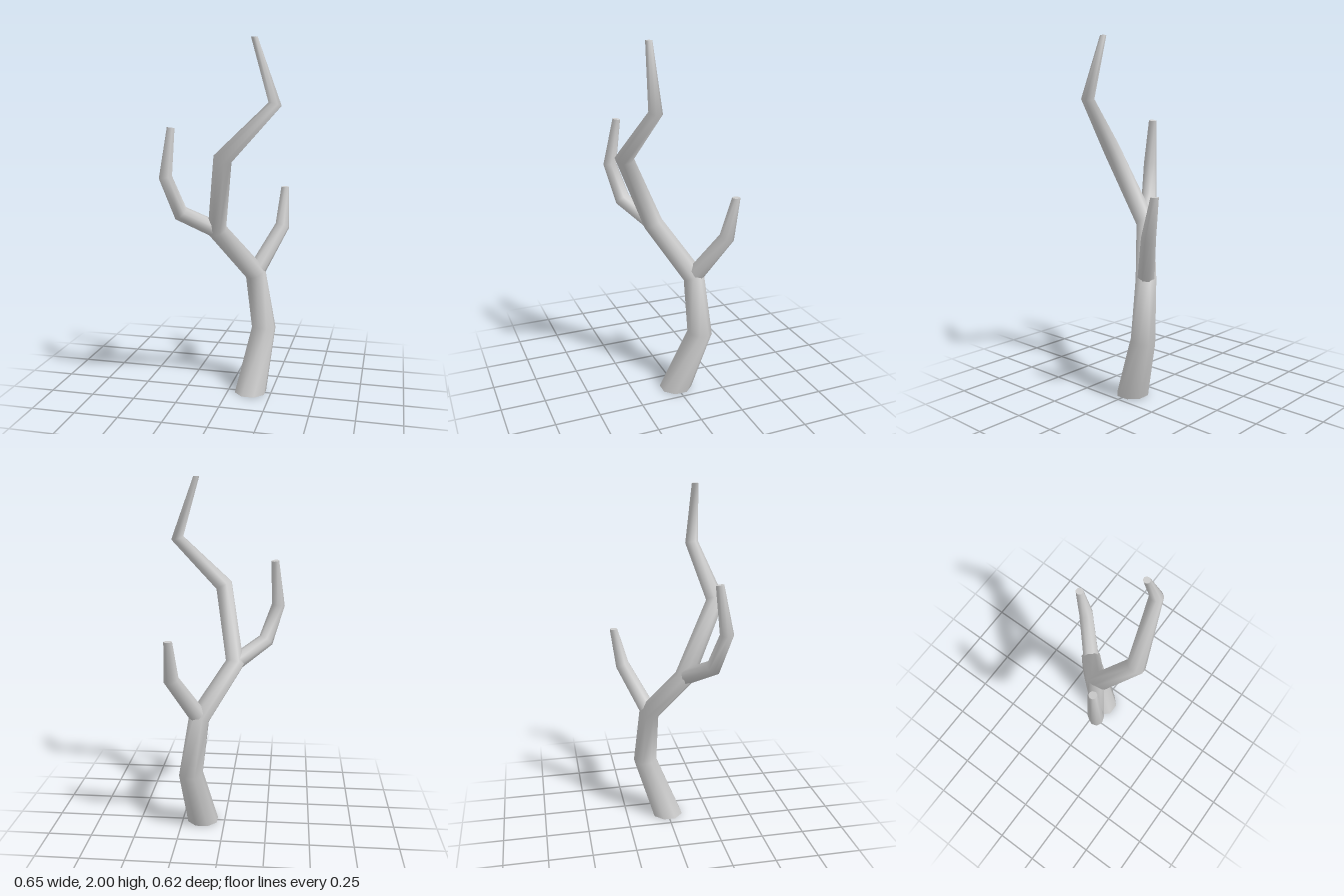
import * as THREE from 'three';

const SIDES = 8;
const UP = new THREE.Vector3(0, 1, 0);

// Tapered limb through stations [x, y, z, radius]; rings are mitred at each bend.
function limbGeometry(stations, startDir, endDir) {
  const pts = stations.map(s => new THREE.Vector3(s[0], s[1], s[2]));
  const last = pts.length - 1;
  const dirs = pts.slice(1).map((p, i) => p.clone().sub(pts[i]).normalize());
  const positions = [], index = [];
  const side = new THREE.Vector3(1, 0, 0);
  const rings = pts.map((p, i) => {
    let t;
    if (i === 0) t = startDir || dirs[0];
    else if (i === last) t = endDir || dirs[last - 1];
    else t = dirs[i - 1].clone().add(dirs[i]).normalize();
    // carry the side vector along so the limb does not twist
    side.addScaledVector(t, -side.dot(t)).normalize();
    const other = new THREE.Vector3().crossVectors(side, t);
    return Array.from({ length: SIDES }, (_, k) => {
      const a = ((k + 0.5) / SIDES) * Math.PI * 2;
      return p.clone()
        .addScaledVector(side, Math.cos(a) * stations[i][3])
        .addScaledVector(other, Math.sin(a) * stations[i][3]);
    });
  });

  // bark surface with shared vertices for smooth shading
  rings.forEach(r => r.forEach(v => positions.push(v.x, v.y, v.z)));
  for (let i = 0; i < last; i++) {
    for (let k = 0; k < SIDES; k++) {
      const a = i * SIDES + k, b = i * SIDES + (k + 1) % SIDES;
      index.push(a, a + SIDES, b, b, a + SIDES, b + SIDES);
    }
  }

  // flat end caps with their own vertices
  [[0, false], [last, true]].forEach(([i, top]) => {
    const base = positions.length / 3;
    rings[i].forEach(v => positions.push(v.x, v.y, v.z));
    for (let k = 1; k < SIDES - 1; k++) {
      if (top) index.push(base, base + k + 1, base + k);
      else index.push(base, base + k, base + k + 1);
    }
  });

  const g = new THREE.BufferGeometry();
  g.setAttribute('position', new THREE.Float32BufferAttribute(positions, 3));
  g.setIndex(index);
  g.computeVertexNormals();
  return g;
}

export function createModel() {
  const group = new THREE.Group();
  group.name = 'bareTree';
  const bark = new THREE.MeshStandardMaterial({ color: 0xcccccc });

  const add = (name, stations, startDir, endDir) => {
    const mesh = new THREE.Mesh(limbGeometry(stations, startDir, endDir), bark);
    mesh.name = name;
    group.add(mesh);
  };

  // trunk running on into the tall crooked leader
  add('trunk', [
    [0.13, 0, 0, 0.093],
    [0.182, 0.355, -0.127, 0.071],
    [0.135, 0.685, -0.107, 0.061],
    [-0.053, 0.965, 0.065, 0.056],
    [0.026, 1.38, 0.256, 0.052],
    [0.285, 1.66, 0.176, 0.037],
    [0.172, 2.0, 0.167, 0.018],
  ], UP, UP);

  // lower branch, towards the back
  add('backBranch', [
    [0.135, 0.69, -0.107, 0.05],
    [0.267, 0.947, -0.242, 0.042],
    [0.273, 1.17, -0.289, 0.023],
  ], null, UP);

  // upper branch, towards the front
  add('frontBranch', [
    [-0.053, 0.965, 0.065, 0.047],
    [-0.225, 1.073, 0.187, 0.045],
    [-0.292, 1.273, 0.238, 0.038],
    [-0.271, 1.534, 0.2, 0.022],
  ]);

  return group;
}
